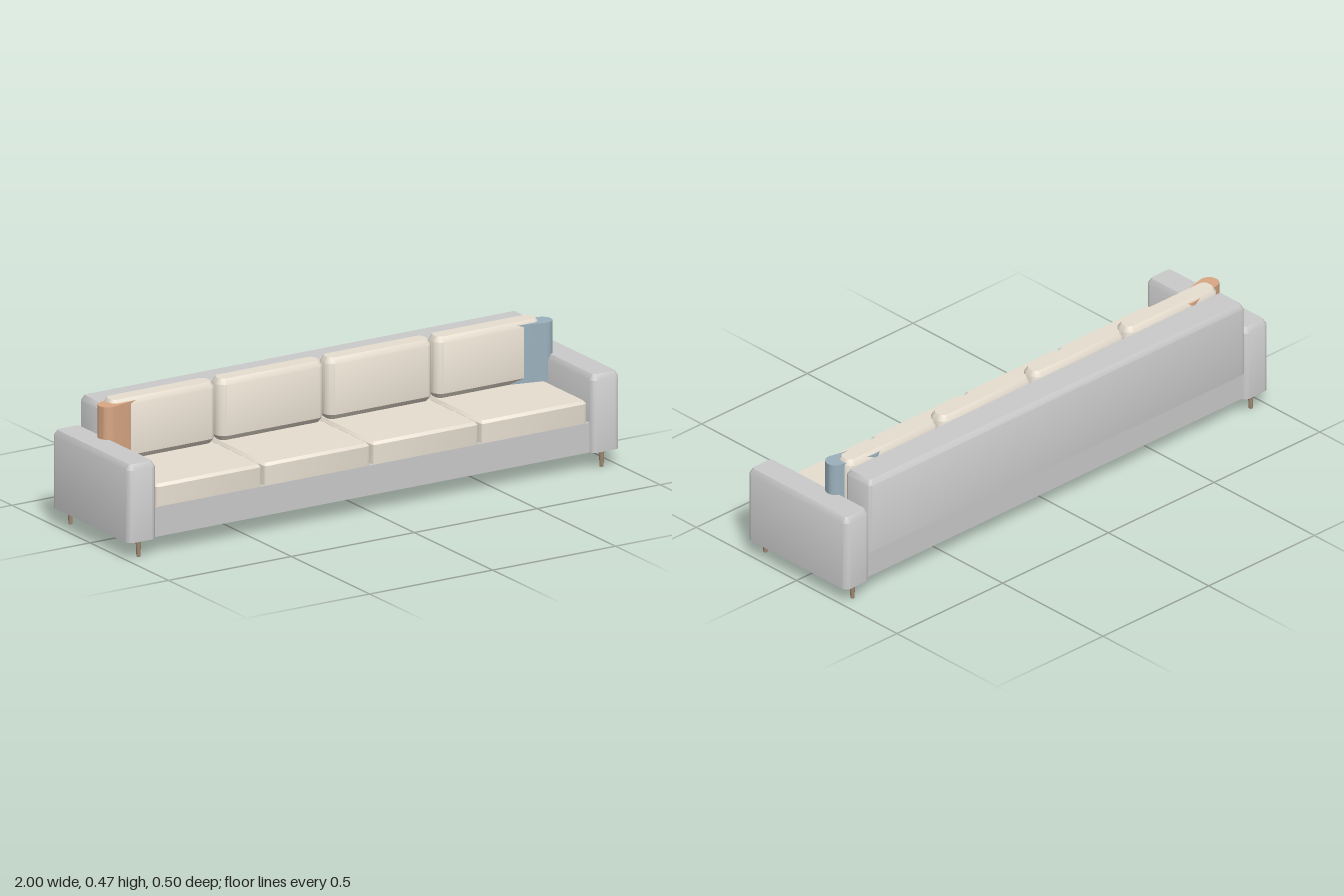
import * as THREE from 'three';
import { toCreasedNormals } from 'three/addons/utils/BufferGeometryUtils.js';

const grey = new THREE.MeshStandardMaterial({ color: 0xcccccc });
const cream = new THREE.MeshStandardMaterial({ color: 0xe8dfd1 });
const orange = new THREE.MeshStandardMaterial({ color: 0xdaa884 });
const blue = new THREE.MeshStandardMaterial({ color: 0x9cb2be });
const wood = new THREE.MeshStandardMaterial({ color: 0xa18a73 });

// Rounded-rectangle outline in the xz plane, as a closed loop of points
function outline(w, d, r, inset) {
  const pts = [], steps = 6;
  const corners = [[1, 1], [-1, 1], [-1, -1], [1, -1]];
  corners.forEach(([sx, sz], c) => {
    for (let i = 0; i <= steps; i++) {
      const a = (c + i / steps) * Math.PI / 2;
      const q = r - inset;
      pts.push([sx * (w / 2 - r) + q * Math.cos(a), sz * (d / 2 - r) + q * Math.sin(a)]);
    }
  });
  return pts;
}

// Upholstered block: outline lofted through [y, inset] levels and capped at both ends
function block(w, d, r, levels) {
  const pos = [], idx = [];
  const rings = levels.map(([y, inset]) => outline(w, d, r, inset).map(([x, z]) => [x, y, z]));
  const n = rings[0].length;
  rings.forEach(ring => ring.forEach(p => pos.push(...p)));
  for (let k = 0; k < rings.length - 1; k++) {
    for (let i = 0; i < n; i++) {
      const a = k * n + i, b = k * n + (i + 1) % n;
      idx.push(a, a + n, b, b, a + n, b + n);
    }
  }
  const bottom = pos.length / 3, top = bottom + 1, last = (rings.length - 1) * n;
  pos.push(0, levels[0][0], 0, 0, levels[levels.length - 1][0], 0);
  for (let i = 0; i < n; i++) {
    const j = (i + 1) % n;
    idx.push(bottom, i, j, top, last + j, last + i);
  }
  const g = new THREE.BufferGeometry();
  g.setAttribute('position', new THREE.Float32BufferAttribute(pos, 3));
  g.setIndex(idx);
  return toCreasedNormals(g, 0.6);
}

export function createModel() {
  const sofa = new THREE.Group();
  sofa.name = 'sofa';
  const add = (name, geometry, material, x, y, z) => {
    const m = new THREE.Mesh(geometry, material);
    m.name = name;
    m.position.set(x, y, z);
    sofa.add(m);
    return m;
  };

  // Base and backrest
  add('base', new THREE.BoxGeometry(1.78, 0.107, 0.46), grey, 0, 0.1165, 0);
  add('backrest', block(1.776, 0.125, 0.018, [[0.17, 0], [0.43, 0], [0.449, 0.0125]]), grey, 0, 0, -0.1855);

  // Arms, legs and throw pillows, one of each per side
  const armGeo = block(0.115, 0.496, 0.022, [[0.063, 0], [0.323, 0], [0.343, 0.0125]]);
  const legGeo = new THREE.CylinderGeometry(0.01, 0.007, 0.064, 16);
  const pillowGeo = block(0.206, 0.07, 0.0349, [[0.25, 0], [0.46, 0]]);
  for (const s of [1, -1]) {
    const side = s > 0 ? 'left' : 'right';
    add(side + 'Arm', armGeo, grey, s * 0.9425, 0, 0);
    add(side + 'FrontLeg', legGeo, wood, s * 0.942, 0.032, 0.217);
    add(side + 'BackLeg', legGeo, wood, s * 0.942, 0.032, -0.217);
    const pillow = add(side + 'Pillow', pillowGeo, s > 0 ? blue : orange, s * 0.818, 0, -0.086);
    pillow.rotation.y = -s * 0.23;
  }

  // Four seat cushions with matching back cushions
  const seatGeo = block(0.432, 0.355, 0.016, [[0.17, 0], [0.24, 0], [0.25, 0.009]]);
  const backGeo = block(0.43, 0.08, 0.034, [[0.25, 0.0125], [0.268, 0], [0.452, 0], [0.471, 0.0125]]);
  for (let i = 0; i < 4; i++) {
    const x = (i - 1.5) * 0.441;
    add('seatCushion' + (i + 1), seatGeo, cream, x, 0, 0.0525);
    add('backCushion' + (i + 1), backGeo, cream, x, 0, -0.0945);
  }
  return sofa;
}
